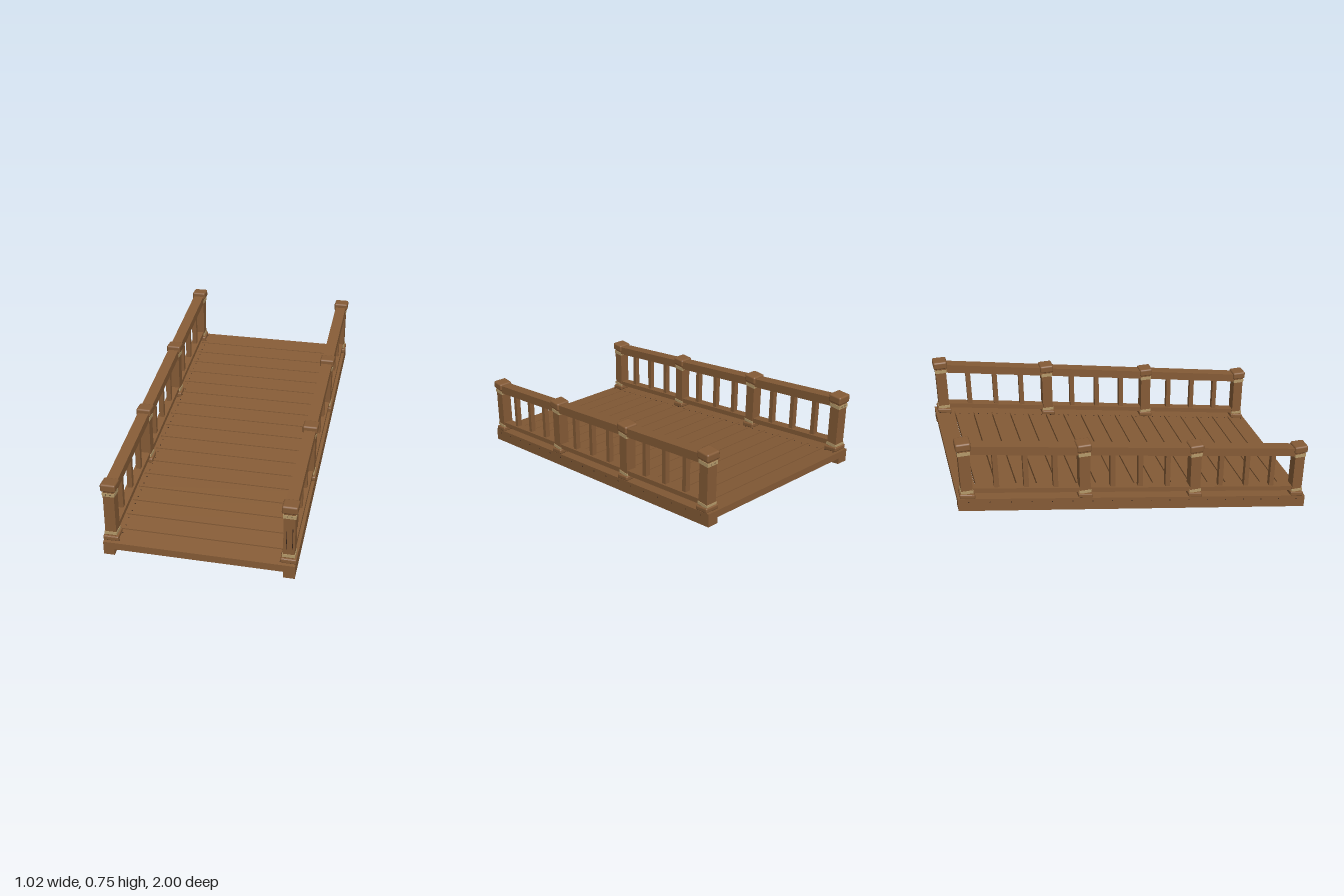
import * as THREE from 'three';
import { RoundedBoxGeometry } from 'three/addons/geometries/RoundedBoxGeometry.js';

const SLOPE = 0.176;
const deckY = (z) => 0.075 + SLOPE * (1 - z); // height of the walking surface

const mat = (name, color) => {
  const m = new THREE.MeshStandardMaterial({ color });
  m.name = name;
  return m;
};

export function createModel() {
  const wood = mat('brown wood', 0x855b36);
  const bandMat = mat('tan binding', 0xb59a6a);
  const dark = mat('dark iron', 0x35241a);
  const model = new THREE.Group();
  model.name = 'rampWithRailings';

  const add = (parent, name, geo, material, x = 0, y = 0, z = 0) => {
    const mesh = new THREE.Mesh(geo, material);
    mesh.name = name;
    mesh.position.set(x, y, z);
    parent.add(mesh);
    return mesh;
  };
  const box = (w, h, d) => new THREE.BoxGeometry(w, h, d);

  // Tilts a geometry along the ramp while its ends stay upright
  const shear = (geo) => {
    const p = geo.attributes.position;
    for (let i = 0; i < p.count; i++) p.setY(i, p.getY(i) - SLOPE * p.getZ(i));
    geo.computeVertexNormals();
    return geo;
  };
  // Sloped bar between two z values, with heights measured from the deck
  const slopedBar = (parent, name, x, w, low, high, z0, z1) => {
    const z = (z0 + z1) / 2;
    return add(parent, name, shear(box(w, high - low, z1 - z0)), wood, x, deckY(z) + (low + high) / 2, z);
  };

  // Deck planks with narrow open gaps
  const deck = new THREE.Group();
  deck.name = 'deck';
  model.add(deck);
  const planks = 18;
  const pitch = 2 / planks;
  const gap = 0.007;
  for (let i = 0; i < planks; i++) {
    const z0 = -1 + i * pitch + (i > 0 ? gap / 2 : 0);
    const z1 = -1 + (i + 1) * pitch - (i < planks - 1 ? gap / 2 : 0);
    slopedBar(deck, 'plank', 0, 0.9, -0.04, 0, z0, z1);
    // Nail heads at the plank ends
    for (const x of [-0.428, 0.428]) {
      for (const z of [z0 + 0.025, z1 - 0.025]) {
        add(deck, 'plankNail', shear(box(0.005, 0.002, 0.005)), dark, x, deckY(z) + 0.0005, z);
      }
    }
  }

  const postZ = [0.947, 0.316, -0.316, -0.947];

  for (const side of [-1, 1]) {
    const rail = new THREE.Group();
    rail.name = side > 0 ? 'leftRailing' : 'rightRailing';
    model.add(rail);
    const x = side * 0.471;

    // Side beam, carrying the planks
    slopedBar(rail, 'sideBeam', side * 0.479, 0.06, -0.075, 0, -1, 1);
    for (let i = 0; i < planks; i++) {
      const z = -1 + (i + 0.5) * pitch;
      add(rail, 'beamNail', box(0.002, 0.005, 0.005), dark, side * 0.5095, deckY(z) - 0.02, z);
    }

    // Hand rail and lower rail
    slopedBar(rail, 'handRail', x, 0.062, 0.267, 0.317, -0.947, 0.947);
    slopedBar(rail, 'lowerRail', x, 0.05, 0.03, 0.058, -0.947, 0.947);

    postZ.forEach((z, i) => {
      const post = new THREE.Group();
      post.name = 'post';
      post.position.set(x, deckY(z), z);
      rail.add(post);
      add(post, 'postShaft', box(0.06, 0.3, 0.06), wood, 0, 0.15, 0);
      add(post, 'postBase', shear(new RoundedBoxGeometry(0.082, 0.027, 0.08, 2, 0.007)), wood, 0, 0.0135, 0);
      add(post, 'postCap', new RoundedBoxGeometry(0.082, 0.045, 0.08, 2, 0.01), wood, 0, 0.312, 0);
      add(post, 'upperBand', box(0.066, 0.02, 0.066), bandMat, 0, 0.271, 0);
      add(post, 'lowerBand', box(0.066, 0.017, 0.066), bandMat, 0, 0.037, 0);
      for (const nx of [-0.012, 0.012]) {
        for (const nz of [-0.0335, 0.0335]) {
          add(post, 'bandNail', box(0.004, 0.004, 0.002), dark, nx, 0.272, nz);
        }
      }
      // Grain cracks on the first left post
      if (side > 0 && i === 0) {
        add(post, 'grainCrack', box(0.003, 0.11, 0.002), dark, -0.013, 0.13, 0.0301);
        add(post, 'grainCrack', box(0.003, 0.12, 0.002), dark, 0.018, 0.14, 0.0301);
      }

      // Three balusters up to the next post
      if (i === postZ.length - 1) return;
      for (let k = 1; k <= 3; k++) {
        const bz = THREE.MathUtils.lerp(z, postZ[i + 1], k / 4);
        add(rail, 'baluster', shear(box(0.028, 0.225, 0.027)), wood, x, deckY(bz) + 0.1625, bz);
      }
    });
  }
  return model;
}
